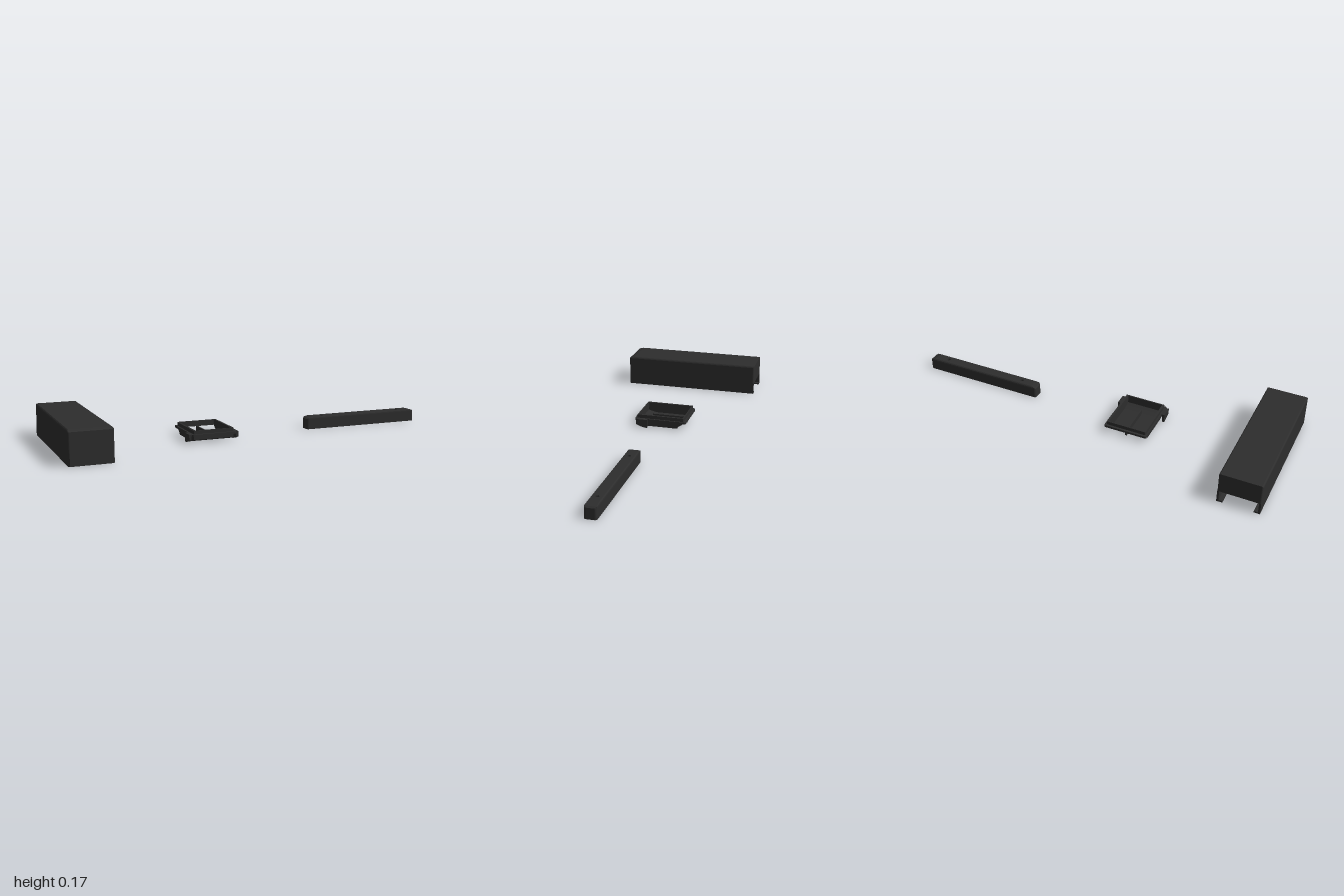
import * as THREE from 'three';

const charcoal = new THREE.MeshStandardMaterial({ color: 0x2d2d2d });

function add(group, name, geometry, x = 0, y = 0, z = 0) {
  const mesh = new THREE.Mesh(geometry, charcoal);
  mesh.name = name;
  mesh.position.set(x, y, z);
  group.add(mesh);
  return mesh;
}

function box(group, name, x0, x1, y0, y1, z0, z1) {
  return add(group, name, new THREE.BoxGeometry(x1 - x0, y1 - y0, z1 - z0),
    (x0 + x1) / 2, (y0 + y1) / 2, (z0 + z1) / 2);
}

// Rounded rectangle in plan
function roundedRect(hx, hz, r, Type = THREE.Shape) {
  const s = new Type();
  s.moveTo(hx, -hz + r);
  s.lineTo(hx, hz - r);
  s.absarc(hx - r, hz - r, r, 0, Math.PI / 2);
  s.absarc(-hx + r, hz - r, r, Math.PI / 2, Math.PI);
  s.absarc(-hx + r, -hz + r, r, Math.PI, Math.PI * 1.5);
  s.absarc(hx - r, -hz + r, r, Math.PI * 1.5, Math.PI * 2);
  return s;
}

// Extrudes a plan upwards; each level is [y, max x, max z, min z]
function layered(shape, levels) {
  const steps = levels.length - 1;
  const g = new THREE.ExtrudeGeometry(shape, { depth: steps, steps, bevelEnabled: false, curveSegments: 5 });
  g.rotateX(-Math.PI / 2);
  const p = g.attributes.position;
  for (let i = 0; i < p.count; i++) {
    const [y, mx = 9, front = 9, back = -9] = levels[Math.round(p.getY(i))];
    p.setXYZ(i, THREE.MathUtils.clamp(p.getX(i), -mx, mx), y, THREE.MathUtils.clamp(p.getZ(i), back, front));
  }
  g.computeVertexNormals();
  return g;
}

// Extrudes a side outline of [z, y] points across a width
function sideProfile(points, width) {
  const shape = new THREE.Shape(points.map(([z, y]) => new THREE.Vector2(z, y)));
  const g = new THREE.ExtrudeGeometry(shape, { depth: width, bevelEnabled: false });
  g.rotateY(-Math.PI / 2);
  g.translate(width / 2, 0, 0);
  return g;
}

// Long hollow cover, open below and notched at the back
function makeCover() {
  const g = new THREE.Group();
  g.name = 'cover';
  const hx = 0.105, hz = 0.377, t = 0.01;
  const plan = roundedRect(hx, hz, 0.008);
  add(g, 'coverRoof', layered(plan, [
    [0.15], [0.156, hx, hz], [0.161, hx - 0.002, hz - 0.008], [0.165, hx - 0.006, hz - 0.028],
  ]));
  const ring = roundedRect(hx, hz, 0.008);
  ring.holes.push(roundedRect(hx - t, hz - t, 0.004, THREE.Path));
  add(g, 'coverUpperWalls', layered(ring, [[0.062], [0.15]]));
  const uShape = (w) => new THREE.Shape([
    [-hx, hz], [-hx, -hz + 0.006], [-hx + 0.006, -hz], [hx - 0.006, -hz], [hx, -hz + 0.006], [hx, hz],
    [hx - w, hz], [hx - w, -hz + w], [-hx + w, -hz + w], [-hx + w, hz],
  ].map(([x, y]) => new THREE.Vector2(x, y)));
  add(g, 'coverLowerWalls', layered(uShape(t), [[0.008], [0.062]]));
  add(g, 'coverBottomFlange', layered(uShape(0.03), [[0], [0.008]]));
  g.position.x = -0.895;
  return g;
}

// Small framed tray with side clips
function makeTray() {
  const g = new THREE.Group();
  g.name = 'tray';
  const frame = roundedRect(0.115, 0.138, 0.008);
  frame.holes.push(roundedRect(0.095, 0.12, 0.002, THREE.Path));
  add(g, 'trayFrame', layered(frame, [[0.034], [0.045]]));
  const rim = roundedRect(0.106, 0.126, 0.004);
  rim.holes.push(roundedRect(0.095, 0.12, 0.002, THREE.Path));
  add(g, 'trayRim', layered(rim, [[0.045], [0.063]]));

  // Sloped pan floor and its side walls
  add(g, 'panFloor', sideProfile([
    [-0.09, 0.003], [0.075, 0.003], [0.105, 0.008], [0.126, 0.016], [0.126, 0.036],
    [0.12, 0.036], [0.12, 0.021], [0.1, 0.014], [0.075, 0.009], [-0.09, 0.009],
  ], 0.2));
  const wall = [
    [-0.09, 0.003], [0.075, 0.003], [0.105, 0.008], [0.126, 0.016], [0.126, 0.036],
    [-0.125, 0.036], [-0.115, 0.026], [-0.1, 0.016],
  ];
  const clip = [[0.067, 0], [0.085, 0.002], [0.11, 0.009], [0.128, 0.017], [0.128, 0.045], [0.067, 0.045]];
  for (const s of [-1, 1]) {
    add(g, 'panSideWall', sideProfile(wall, 0.009), s * 0.0995);
    add(g, 'sideClip', sideProfile(clip, 0.012), s * 0.124);
    box(g, 'clipArm', s * 0.116 - 0.004, s * 0.116 + 0.004, 0.035, 0.045, 0.067, 0.128);
  }
  box(g, 'centreRib', -0.004, 0.004, 0.006, 0.036, -0.122, 0.07);
  g.position.x = -0.22;
  return g;
}

// Slim bar with two screw holes
function makeBar() {
  const g = new THREE.Group();
  g.name = 'mountingBar';
  const hx = 0.3275, hz = 0.03;
  const plan = roundedRect(hx, hz, 0.012);
  for (const x of [-0.23, 0.23]) plan.holes.push(new THREE.Path().absarc(x, 0, 0.009, 0, Math.PI * 2));
  add(g, 'barBody', layered(plan, [
    [0], [0.054], [0.06, hx - 0.008, hz - 0.001, 0.001 - hz], [0.065, hx - 0.028, hz - 0.005, 0.005 - hz],
  ]));
  g.position.x = 0.6725;
  return g;
}

export function createModel() {
  const model = new THREE.Group();
  model.name = 'model';
  model.add(makeCover(), makeTray(), makeBar());
  return model;
}
